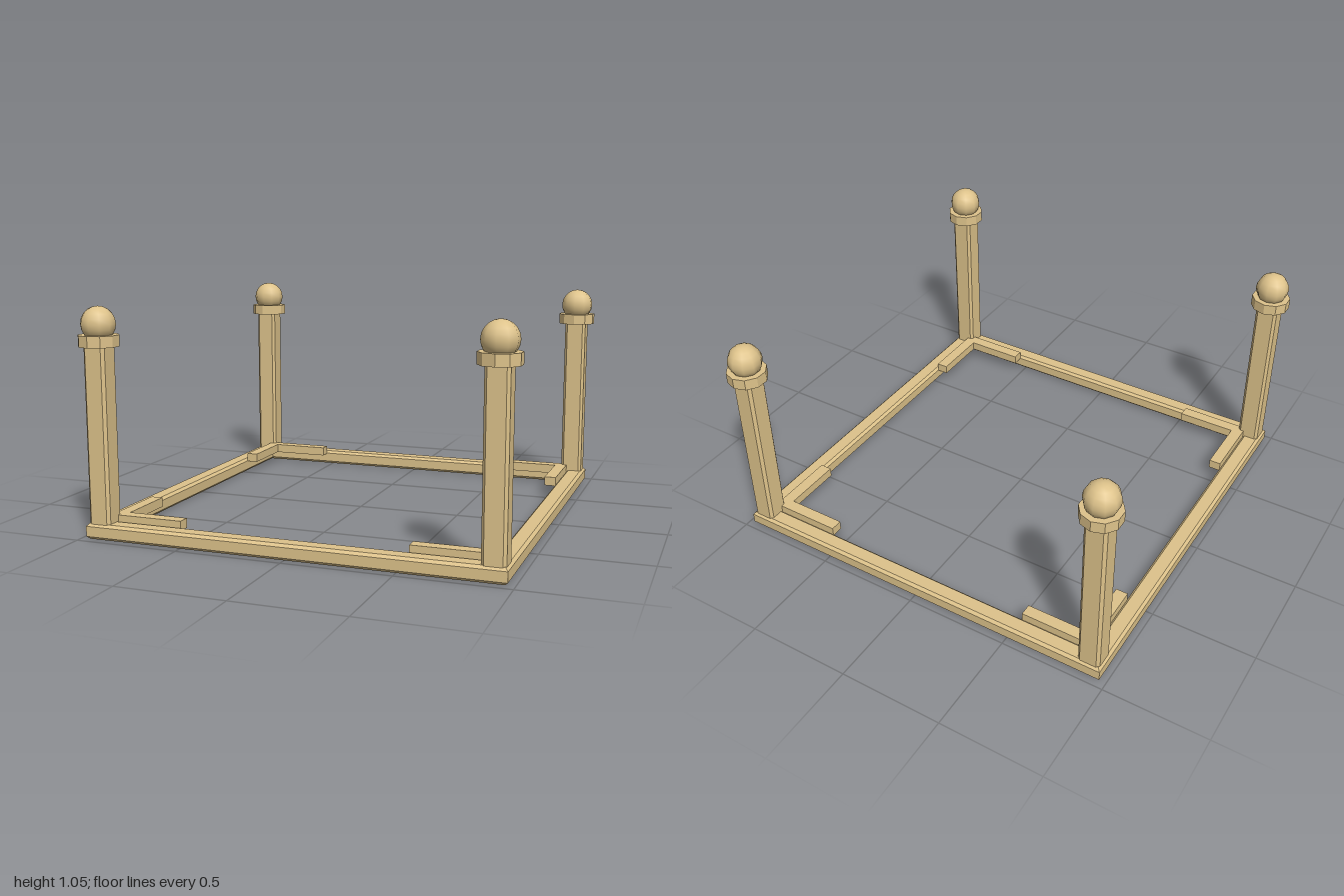
import * as THREE from 'three';

const POST = 0.907;       // post centre offset from the middle
const OUTER = 0.97, INNER = 0.882, RAIL_TOP = 0.073, BEVEL = 0.013;

export function createModel() {
  const model = new THREE.Group();
  model.name = 'cornerPostFrame';
  const flat = new THREE.MeshStandardMaterial({ color: 0xdec38b, flatShading: true });
  const smooth = new THREE.MeshStandardMaterial({ color: 0xdec38b });

  const add = (parent, name, geometry, material, x, y, z) => {
    const mesh = new THREE.Mesh(geometry, material);
    mesh.name = name;
    mesh.position.set(x, y, z);
    parent.add(mesh);
    return mesh;
  };

  // Square base frame: a bevelled rail section swept round four mitred corners
  const section = [
    [INNER, BEVEL], [INNER + BEVEL, 0], [OUTER - BEVEL, 0], [OUTER, BEVEL],
    [OUTER, RAIL_TOP - BEVEL], [OUTER - BEVEL, RAIL_TOP],
    [INNER + BEVEL, RAIL_TOP], [INNER, RAIL_TOP - BEVEL], [INNER, BEVEL],
  ].map(([r, y]) => new THREE.Vector2(r * Math.SQRT2, y));
  add(model, 'baseFrame', new THREE.LatheGeometry(section, 4, Math.PI / 4), flat, 0, 0, 0);

  // Square post with chamfered edges
  const h = 0.053, c = h - BEVEL;
  const outline = new THREE.Shape([
    [h, -c], [h, c], [c, h], [-c, h], [-h, c], [-h, -c], [-c, -h], [c, -h],
  ].map(([x, y]) => new THREE.Vector2(x, y)));
  const postGeometry = new THREE.ExtrudeGeometry(outline, { depth: 0.815, bevelEnabled: false });
  postGeometry.rotateX(-Math.PI / 2);

  const collarGeometry = new THREE.CylinderGeometry(0.093, 0.093, 0.052, 10);
  const ballGeometry = new THREE.SphereGeometry(0.08, 10, 10);
  ballGeometry.rotateY(Math.PI / 2);

  // Corner braces lie along the inner faces of the rails
  const long = 0.35, thick = 0.058, tall = 0.045;
  const braceX = new THREE.BoxGeometry(long, tall, thick);
  const braceZ = new THREE.BoxGeometry(thick, tall, long - thick);
  const near = 0.884;

  for (const [sx, sz, name] of [
    [1, 1, 'frontLeft'], [-1, 1, 'frontRight'], [1, -1, 'backLeft'], [-1, -1, 'backRight'],
  ]) {
    const corner = new THREE.Group();
    corner.name = name + 'Corner';
    model.add(corner);
    const px = sx * POST, pz = sz * POST;
    add(corner, 'post', postGeometry, flat, px, 0.065, pz);
    add(corner, 'collar', collarGeometry, flat, px, 0.9, pz);
    add(corner, 'ballFinial', ballGeometry, smooth, px, 0.974, pz);
    add(corner, 'braceAcross', braceX, flat,
      sx * (near - long / 2), 0.102 - tall / 2, sz * (near - thick / 2));
    add(corner, 'braceAlong', braceZ, flat,
      sx * (near - thick / 2), 0.102 - tall / 2, sz * (near - (long + thick) / 2));
  }
  return model;
}
